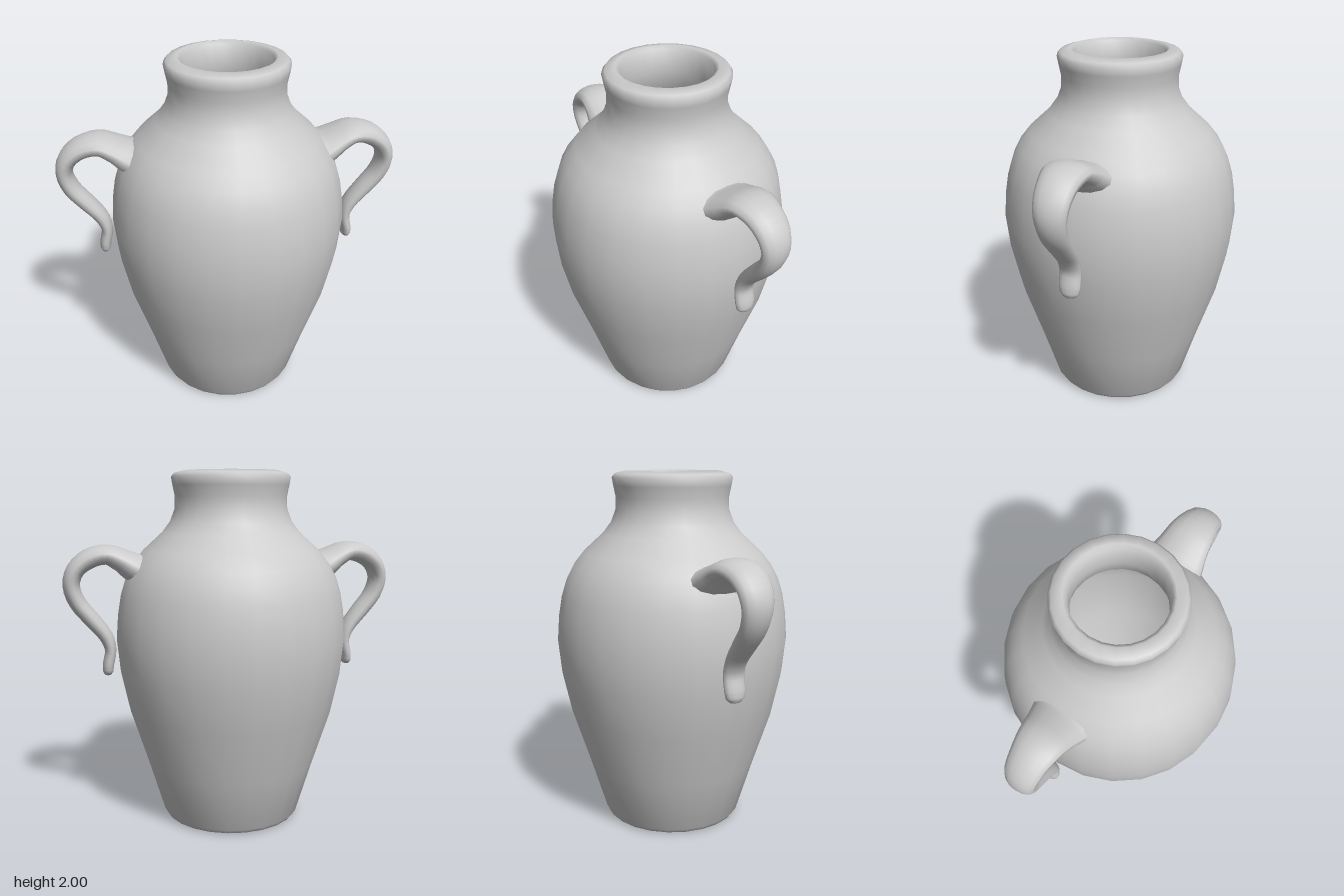
import * as THREE from 'three';
import { toCreasedNormals } from 'three/addons/utils/BufferGeometryUtils.js';

const material = new THREE.MeshStandardMaterial({ color: 0xcccccc });

// Jar wall: base, belly, neck and rim outside, then back down the inside
const JAR = [
  [0, 0], [0.36, 0], [0.385, 0.008], [0.4, 0.03], [0.49, 0.33], [0.59, 0.645],
  [0.64, 0.88], [0.658, 1.07], [0.647, 1.21], [0.628, 1.32], [0.6, 1.41], [0.56, 1.485], [0.5, 1.56],
  [0.39, 1.66], [0.345, 1.72], [0.318, 1.79], [0.316, 1.86], [0.328, 1.92],
  [0.336, 1.965], [0.32, 1.985], [0.265, 2], [0.245, 1.985],
  [0.24, 1.85], [0.26, 1.75], [0.4, 1.55], [0.52, 1.4], [0.58, 1.07],
  [0.52, 0.65], [0.35, 0.12], [0, 0.1],
];

// Handle stations: x, y, half thickness, half width
const HANDLE = [
  [0.46, 1.43, 0.11, 0.2], [0.55, 1.47, 0.083, 0.165], [0.62, 1.512, 0.066, 0.143],
  [0.7, 1.545, 0.056, 0.127], [0.8, 1.522, 0.056, 0.107], [0.873, 1.46, 0.05, 0.095],
  [0.897, 1.38, 0.047, 0.085], [0.868, 1.285, 0.047, 0.077], [0.795, 1.19, 0.046, 0.07],
  [0.718, 1.09, 0.04, 0.063], [0.694, 1.01, 0.032, 0.06], [0.708, 0.93, 0.032, 0.06],
  [0.712, 0.89, 0.03, 0.052], [0.714, 0.87, 0.018, 0.03], [0.714, 0.866, 0.001, 0.001],
];

// Sweeps an oval of changing size along the handle's curve
function handleGeometry(rings = 42, sides = 14) {
  const path = new THREE.CatmullRomCurve3(HANDLE.map(([x, y]) => new THREE.Vector3(x, y, 0)));
  const position = [], index = [];
  for (let i = 0; i <= rings; i++) {
    const t = i / rings, f = t * (HANDLE.length - 1);
    const k = Math.min(Math.floor(f), HANDLE.length - 2);
    const size = (c) => THREE.MathUtils.lerp(HANDLE[k][c], HANDLE[k + 1][c], f - k);
    const p = path.getPoint(t), d = path.getTangent(t);
    for (let j = 0; j < sides; j++) {
      const a = (j / sides) * Math.PI * 2;
      const u = Math.cos(a) * size(2), w = Math.sin(a) * size(3);
      position.push(p.x - d.y * u, p.y + d.x * u, w);
      if (i < rings) {
        const a0 = i * sides + j, b0 = i * sides + (j + 1) % sides;
        index.push(a0, b0, a0 + sides, b0, b0 + sides, a0 + sides);
      }
    }
  }
  const g = new THREE.BufferGeometry();
  g.setAttribute('position', new THREE.Float32BufferAttribute(position, 3));
  g.setIndex(index);
  g.computeVertexNormals();
  return g;
}

export function createModel() {
  const model = new THREE.Group();
  model.name = 'jar';

  const lathe = new THREE.LatheGeometry(JAR.map(([r, y]) => new THREE.Vector2(r, y)), 24);
  const body = new THREE.Mesh(toCreasedNormals(lathe, Math.PI / 3), material);
  body.name = 'body';
  model.add(body);

  // Two matching handles, half a turn apart
  const geometry = handleGeometry();
  ['leftHandle', 'rightHandle'].forEach((name, i) => {
    const handle = new THREE.Mesh(geometry, material);
    handle.name = name;
    handle.rotation.y = i * Math.PI;
    model.add(handle);
  });
  return model;
}
